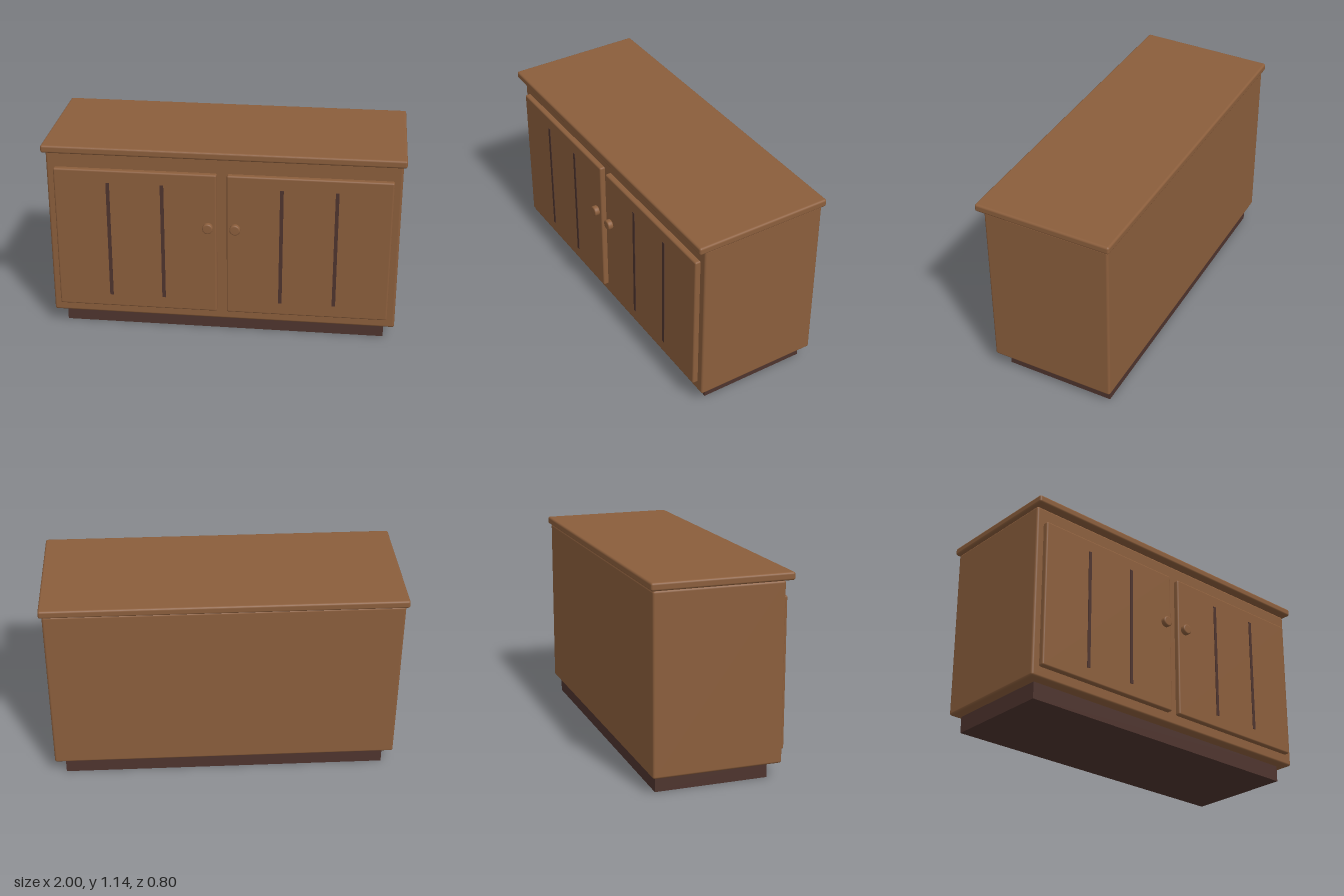
import * as THREE from 'three';
import { RoundedBoxGeometry } from 'three/addons/geometries/RoundedBoxGeometry.js';

const wood = new THREE.MeshStandardMaterial({ color: 0x8b5e3c });
wood.name = 'warm brown wood';
const darkWood = new THREE.MeshStandardMaterial({ color: 0x4e342e });
darkWood.name = 'dark brown wood';

// Box given by its x, y and z ranges; a radius rounds its edges
function block(name, material, [x0, x1], [y0, y1], [z0, z1], radius = 0) {
  const size = [x1 - x0, y1 - y0, z1 - z0];
  const geometry = radius
    ? new RoundedBoxGeometry(...size, 3, radius)
    : new THREE.BoxGeometry(...size);
  const mesh = new THREE.Mesh(geometry, material);
  mesh.name = name;
  mesh.position.set((x0 + x1) / 2, (y0 + y1) / 2, (z0 + z1) / 2);
  return mesh;
}

// Round pull with softened rims, turned to face +z
function knob(name, x) {
  const r = 0.03, depth = 0.032, b = 0.008;
  const profile = [new THREE.Vector2(0, 0)];
  for (const [cy, start] of [[b, -Math.PI / 2], [depth - b, 0]]) {
    for (let i = 0; i <= 4; i++) {
      const a = start + (i / 4) * (Math.PI / 2);
      profile.push(new THREE.Vector2(r - b + b * Math.cos(a), cy + b * Math.sin(a)));
    }
  }
  profile.push(new THREE.Vector2(0, depth));
  const geometry = new THREE.LatheGeometry(profile, 32);
  geometry.rotateX(Math.PI / 2);
  const mesh = new THREE.Mesh(geometry, wood);
  mesh.name = name;
  mesh.position.set(x, 0.685, 0.369);
  return mesh;
}

export function createModel() {
  const model = new THREE.Group();
  model.name = 'sideboard';

  // Recessed base, carcass and overhanging top
  model.add(
    block('plinth', darkWood, [-0.923, 0.923], [0, 0.1], [-0.355, 0.28]),
    block('cabinetBody', wood, [-0.983, 0.983], [0.094, 1.092], [-0.385, 0.341], 0.013),
    block('top', wood, [-1, 1], [1.093, 1.137], [-0.4, 0.385], 0.012),
  );

  // Two mirrored doors, each with two dark strips and a knob
  for (const [side, s] of [['left', 1], ['right', -1]]) {
    const span = (a, b) => (s > 0 ? [a, b] : [-b, -a]);
    const door = new THREE.Group();
    door.name = `${side}Door`;
    door.add(block(`${side}DoorPanel`, wood, span(0.028, 0.939), [0.154, 1.0], [0.332, 0.371], 0.01));
    for (const x of [0.332, 0.635]) {
      door.add(block(`${side}DoorStrip`, darkWood, span(x - 0.01, x + 0.01), [0.229, 0.927], [0.366, 0.374]));
    }
    door.add(knob(`${side}Knob`, s * 0.076));
    model.add(door);
  }
  return model;
}
